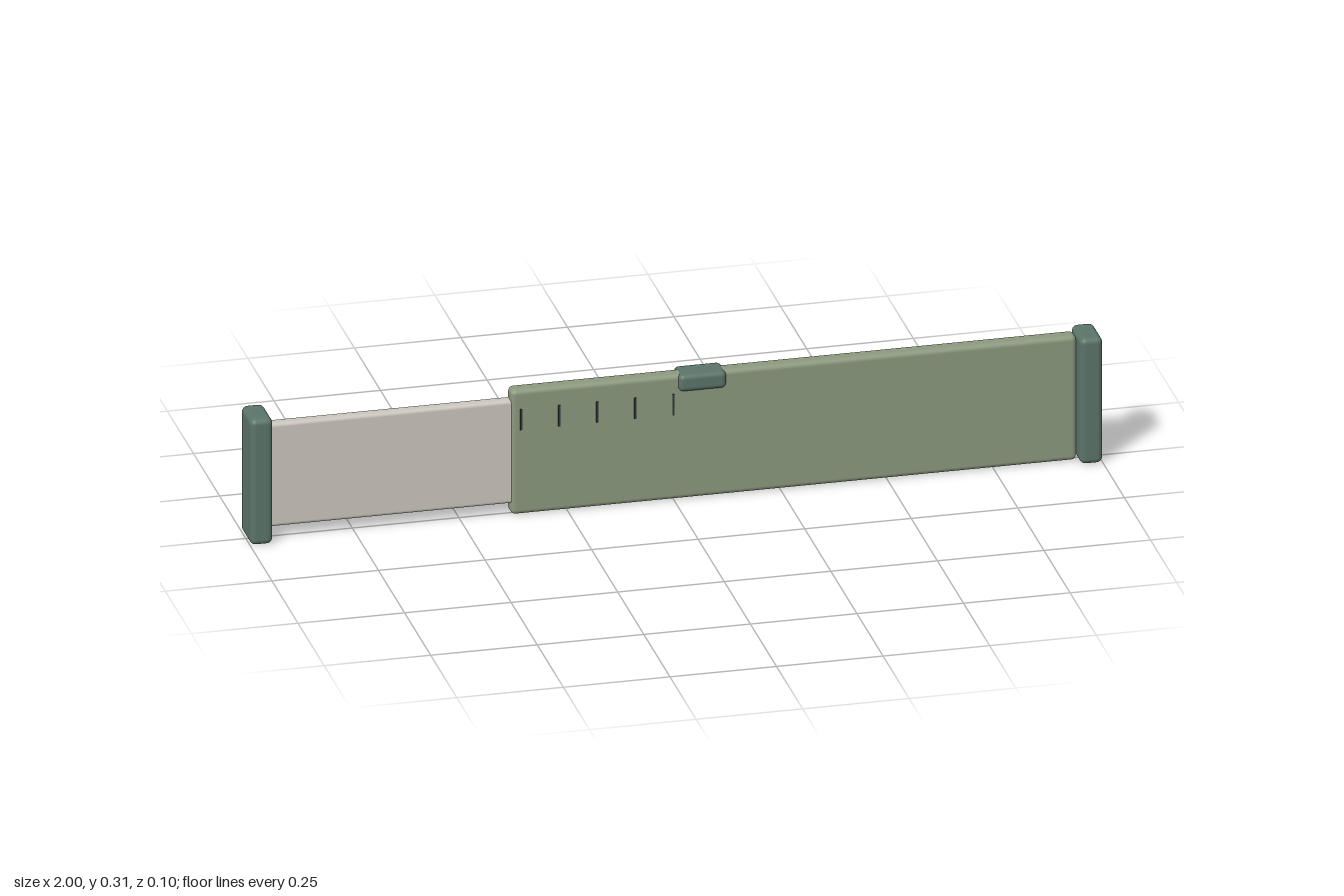
import * as THREE from 'three';
import { RoundedBoxGeometry } from 'three/addons/geometries/RoundedBoxGeometry.js';

const material = (name, color) => {
  const m = new THREE.MeshStandardMaterial({ color });
  m.name = name;
  return m;
};

export function createModel() {
  const group = new THREE.Group();
  group.name = 'slidingGauge';
  const sage = material('sage green', 0x8b987d);
  const teal = material('dark teal', 0x5a7469);
  const cream = material('warm grey', 0xcac5bc);
  const ink = material('dark ink', 0x2c3833);

  // Rounded block given by its x and y extents and its half depth
  const block = (name, mat, [x0, x1], [y0, y1], halfZ, radius) => {
    const geo = new RoundedBoxGeometry(x1 - x0, y1 - y0, halfZ * 2, 4, radius);
    const mesh = new THREE.Mesh(geo, mat);
    mesh.name = name;
    mesh.position.set((x0 + x1) / 2, (y0 + y1) / 2, 0);
    group.add(mesh);
  };

  // Inner strip slides inside the outer sleeve
  block('innerStrip', cream, [-0.955, 0.3], [0.028, 0.284], 0.015, 0.009);
  block('outerSleeve', sage, [-0.382, 0.945], [0.001, 0.31], 0.02, 0.012);

  // End caps
  block('rightEndCap', teal, [-1, -0.947], [0, 0.312], 0.049, 0.014);
  block('leftEndCap', teal, [0.947, 1], [0, 0.312], 0.049, 0.014);

  // Thumb slider straddling the top edge
  block('thumbSlider', teal, [0.01, 0.121], [0.27, 0.312], 0.033, 0.012);

  // Scale marks on the front of the sleeve
  for (let i = 0; i < 5; i++) {
    const mark = new THREE.Mesh(new THREE.BoxGeometry(0.005, 0.052, 0.004), ink);
    mark.name = 'scaleMark' + (i + 1);
    mark.position.set(-0.359 + i * 0.0893, 0.238, 0.0205);
    group.add(mark);
  }
  return group;
}
